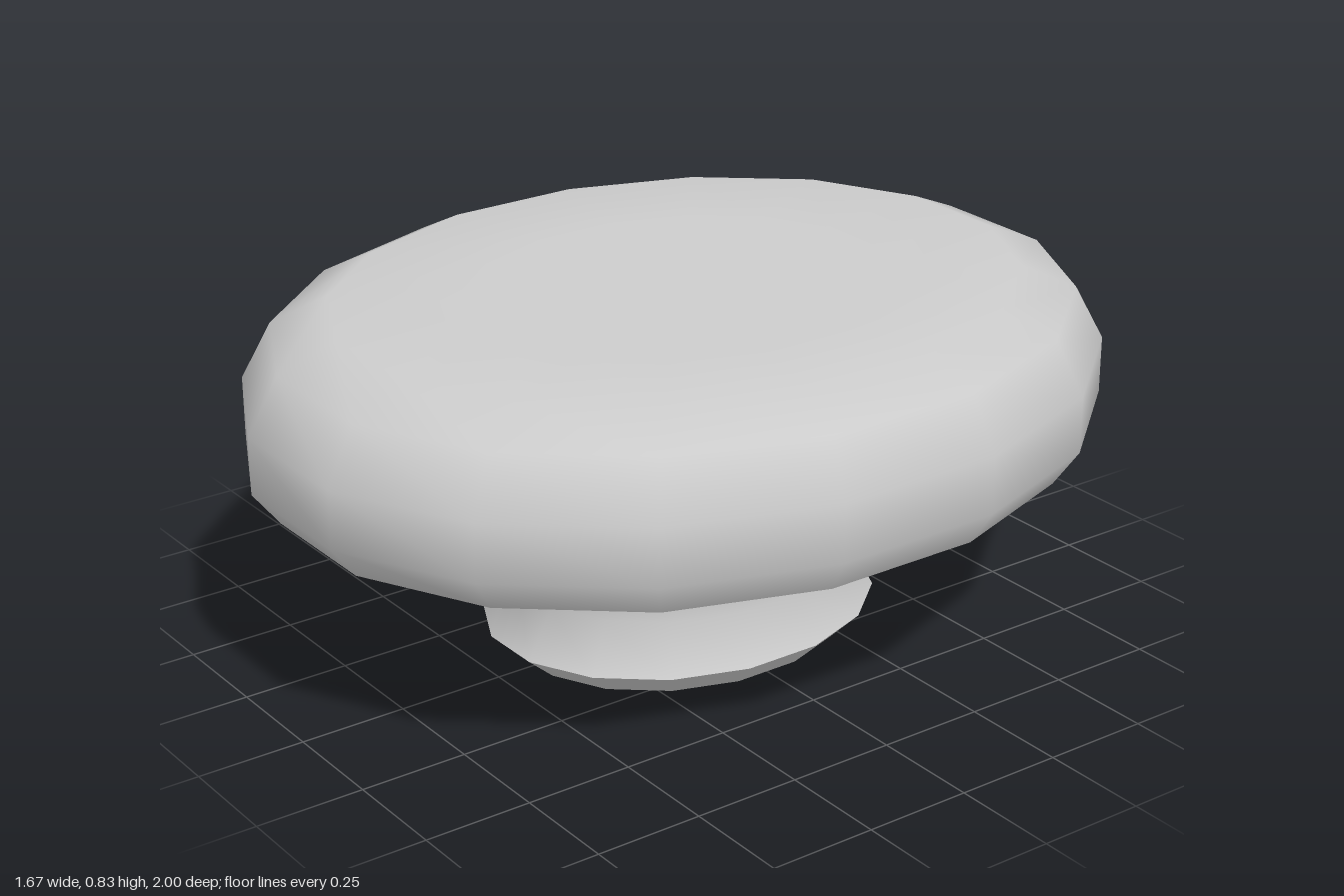
import * as THREE from 'three';

const SIDES = 16;
const STRETCH = 1.2; // oval: depth / width

// Oval ring surface from a [halfWidth, height] profile, listed bottom to top
function ovalLathe(name, profile, material) {
  const k = 1 / Math.cos(Math.PI / SIDES); // half widths are measured across flats
  const points = profile.map(([r, y]) => new THREE.Vector2(r * k, y));
  const geometry = new THREE.LatheGeometry(points, SIDES, Math.PI / SIDES);
  geometry.scale(1, 1, STRETCH);
  const mesh = new THREE.Mesh(geometry, material);
  mesh.name = name;
  return mesh;
}

export function createModel() {
  const grey = new THREE.MeshStandardMaterial({ color: 0xcccccc });
  grey.name = 'light grey';

  const knob = new THREE.Group();
  knob.name = 'ovalKnob';
  knob.add(
    // flat underside of the foot
    ovalLathe('footBase', [[0, 0], [0.333, 0]], grey),
    // bevel up to the widest line of the foot
    ovalLathe('footBevel', [[0.333, 0], [0.39, 0.06]], grey),
    // waisted neck flaring out into the underside of the head
    ovalLathe('neck', [
      [0.39, 0.06], [0.333, 0.17], [0.348, 0.338], [0.415, 0.388], [0.64, 0.44], [0.782, 0.44],
    ], grey),
    // rounded rim and flat top
    ovalLathe('head', [
      [0.782, 0.44], [0.833, 0.52], [0.833, 0.652], [0.775, 0.778], [0.665, 0.835], [0.4, 0.835], [0, 0.835],
    ], grey),
  );
  return knob;
}
